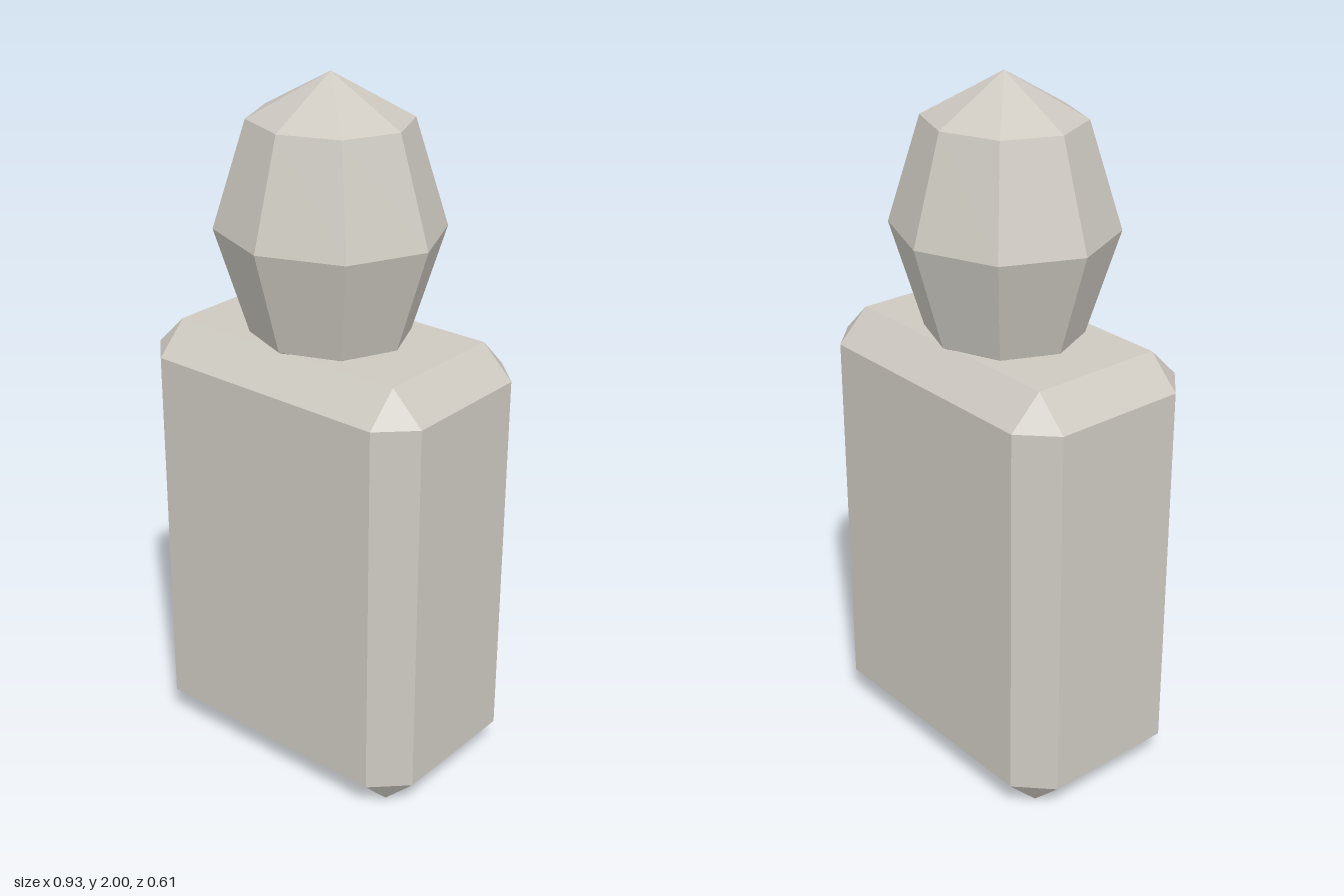
import * as THREE from 'three';
import { ConvexGeometry } from 'three/addons/geometries/ConvexGeometry.js';

// Box with bevelled edges and triangular corners, centred on the origin
function chamferedBox(hx, hy, hz, bx, by, bz) {
  const points = [];
  for (const sx of [-1, 1]) for (const sy of [-1, 1]) for (const sz of [-1, 1]) {
    points.push(
      new THREE.Vector3(sx * hx, sy * (hy - by), sz * (hz - bz)),
      new THREE.Vector3(sx * (hx - bx), sy * hy, sz * (hz - bz)),
      new THREE.Vector3(sx * (hx - bx), sy * (hy - by), sz * hz),
    );
  }
  return new ConvexGeometry(points);
}

export function createModel() {
  const group = new THREE.Group();
  const stone = new THREE.MeshStandardMaterial({ color: 0xcdc9c1, flatShading: true });
  stone.name = 'warm grey stone';

  // Upright slab body
  const body = new THREE.Mesh(chamferedBox(0.467, 0.643, 0.291, 0.094, 0.091, 0.092), stone);
  body.name = 'body';
  body.position.y = 0.643;
  group.add(body);

  // Faceted egg-shaped head, its lowest cap sunk into the body
  const head = new THREE.Mesh(new THREE.SphereGeometry(1, 8, 4), stone);
  head.name = 'head';
  head.scale.set(0.326, 0.418, 0.303);
  head.position.y = 1.582;
  group.add(head);

  return group;
}
